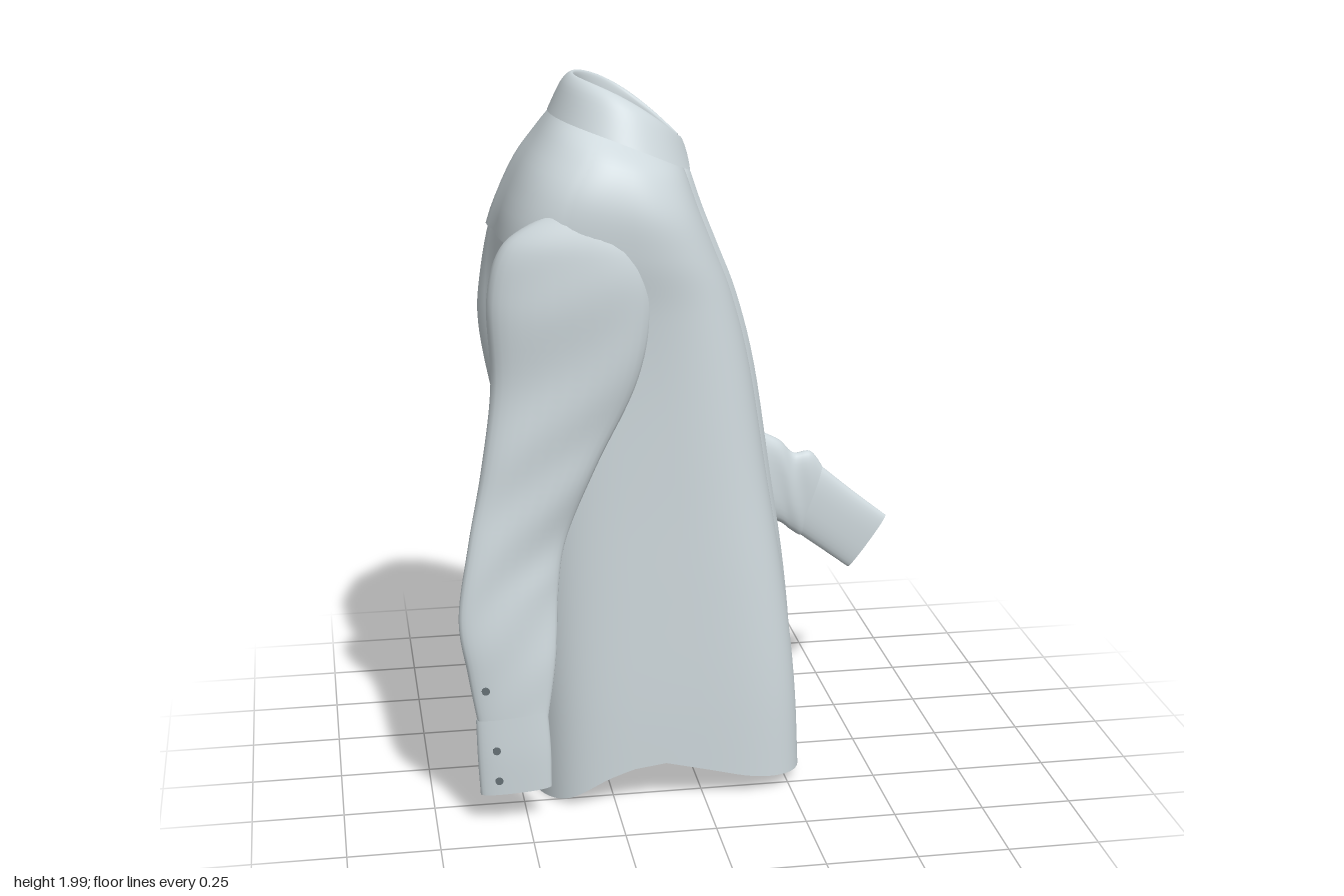
import * as THREE from 'three';

const fabric = new THREE.MeshStandardMaterial({ color: 0xced8dc, side: THREE.DoubleSide });
fabric.name = 'pale blue-grey fabric';
const buttonMat = new THREE.MeshStandardMaterial({ color: 0x667075 });
buttonMat.name = 'dark grey button';

// Smooth (Catmull-Rom) sample of a list of number rows at position t
function sampleRows(rows, t) {
  const last = rows.length - 1;
  const i = Math.min(Math.floor(t), last - 1), f = t - i;
  const [a, b, c, d] = [i - 1, i, i + 1, i + 2].map(k => rows[Math.min(Math.max(k, 0), last)]);
  return b.map((v, k) => v + 0.5 * f * (c[k] - a[k] + f * (2 * a[k] - 5 * v + 4 * c[k] - d[k]
    + f * (3 * (v - c[k]) + d[k] - a[k]))));
}

// Grid surface from point(u, v) with u, v in 0..1; closed joins the u ends
function surface(name, nu, nv, closed, point, flip = false) {
  const pos = [], index = [], cols = closed ? nu : nu + 1;
  for (let j = 0; j <= nv; j++)
    for (let i = 0; i < cols; i++) pos.push(...point(i / nu, j / nv));
  for (let j = 0; j < nv; j++)
    for (let i = 0; i < nu; i++) {
      const a = j * cols + i, b = j * cols + (i + 1) % cols, c = a + cols, d = b + cols;
      if (flip) index.push(a, b, c, b, d, c);
      else index.push(a, c, b, b, c, d);
    }
  const g = new THREE.BufferGeometry();
  g.setAttribute('position', new THREE.Float32BufferAttribute(pos, 3));
  g.setIndex(index);
  g.computeVertexNormals();
  const mesh = new THREE.Mesh(g, fabric);
  mesh.name = name;
  return mesh;
}

const power = (v, n) => Math.sign(v) * Math.pow(Math.abs(v), 2 / n);
const TAU = Math.PI * 2;

// Body sections: y, back x, front x, right z, left z, squareness, tilt, front skew, back skew
const body = [
  [0.00, -0.495, 0.275, 0.32, -0.28, 4.2, 0, 0.13, 0.2],
  [0.30, -0.495, 0.265, 0.32, -0.28, 4.0, 0, 0.12, 0.16],
  [0.60, -0.495, 0.24, 0.315, -0.28, 3.7, 0, 0.08, 0.12],
  [0.90, -0.50, 0.20, 0.31, -0.28, 3.4, 0, 0.04, 0.1],
  [1.20, -0.505, 0.16, 0.31, -0.285, 3.1, 0, 0, 0.08],
  [1.40, -0.52, 0.11, 0.32, -0.295, 3.0, 0, 0, 0.04],
  [1.56, -0.52, 0.06, 0.34, -0.312, 2.9, -0.1, 0, 0],
  [1.69, -0.47, 0.017, 0.34, -0.312, 2.7, -0.2, 0, 0],
  [1.785, -0.405, -0.01, 0.302, -0.272, 2.3, -0.3, 0, 0],
  [1.84, -0.36, -0.026, 0.232, -0.212, 2.1, -0.4, 0, 0],
  [1.87, -0.335, -0.034, 0.18, -0.165, 2, -0.47, 0, 0],
];
// Shirt-tail hem height along x
const hemRows = [[0.0], [0.01], [0.085], [0.12], [0.09], [0.055], [0.04]];
const hem = x => sampleRows(hemRows, THREE.MathUtils.clamp((x + 0.53) / 0.135, 0, 6))[0];

// Point on the body from unit section coordinates c (front-back) and s (side)
function bodyPoint(t, c, s, grow = 0) {
  const [y0, back, front, zr, zl, , tilt, skewFront, skewBack] = sampleRows(body, t);
  const xc = (back + front) / 2, rx = (front - back) / 2 + grow;
  const z = (zr + zl) / 2 + s * ((zr - zl) / 2 + grow);
  let x = xc + rx * c + (c > 0 ? skewFront : skewBack) * z * Math.abs(c);
  const y = y0 + tilt * (x - xc) + hem(x) * Math.max(0, 1 - t);
  // box pleat down the middle of the back
  if (c < 0) x -= 0.055 * Math.exp(-(((z + 0.07) / 0.05) ** 2)) * Math.exp(-(((y - 1.3) / 0.25) ** 2));
  return [x, y, z];
}
function bodyAt(t, angle, grow) {
  const n = sampleRows(body, t)[5];
  return bodyPoint(t, power(Math.cos(angle), n), power(Math.sin(angle), n), grow);
}
function bodyFrontAt(t, z) {
  const r = sampleRows(body, t);
  const s = (z - (r[3] + r[4]) / 2) / ((r[3] - r[4]) / 2);
  return bodyPoint(t, Math.pow(Math.max(0, 1 - Math.abs(s) ** r[5]), 1 / r[5]), s);
}

// Flattened tube; stations: front edge x, y, z, back edge x, y, z, half thickness
function sleeveTube(name, stations, steps, wrinkle) {
  const last = stations.length - 1;
  return surface(name, 32, steps, true, (u, v) => {
    const [x1, y1, z1, x2, y2, z2, h] = sampleRows(stations, v * last);
    const a = u * TAU, c = power(Math.cos(a), 2.3), s = power(Math.sin(a), 2.3);
    const fold = 1 + wrinkle * Math.sin(v * 34 + c * 3) * v * v * (1 - v) * 6;
    const mix = (front, back) => (front + back) / 2 + c * (front - back) / 2;
    return [mix(x1, x2), mix(y1, y2), mix(z1, z2) + s * h * fold];
  }, true);
}

function button(x, y, z, axis) {
  const m = new THREE.Mesh(new THREE.CylinderGeometry(0.011, 0.011, 0.008, 12), buttonMat);
  m.name = 'button';
  m.position.set(x, y, z);
  if (axis === 'z') m.rotation.x = Math.PI / 2;
  else m.rotation.z = Math.PI / 2;
  return m;
}

function sleeve(name, arm, cuff, buttons) {
  const group = new THREE.Group();
  group.name = name;
  group.add(sleeveTube('sleeve', arm, 60, 0.1), sleeveTube('cuff', cuff, 8, 0));
  for (const [x, y, z] of buttons) group.add(button(x, y, z, 'z'));
  return group;
}

export function createModel() {
  const shirt = new THREE.Group();
  shirt.name = 'shirt';
  const top = body.length - 1;

  shirt.add(surface('body', 96, 60, true, (u, v) => bodyAt(v * top, u * TAU, 0)));

  // Back yoke, a thin layer over the shoulder blades that fades out at its ends
  shirt.add(surface('backYoke', 32, 16, false, (u, v) =>
    bodyAt(5.95 + v * 3.8, Math.PI * (0.62 + u * 0.76), 0.007 * (1 - v) * Math.sin(Math.PI * u) ** 0.5)));

  // Front placket with a raised free edge
  const edgeRows = [[0.05], [0.09], [0.105], [0.11], [0.105], [0.1], [0.095], [0.085], [0.075], [0.06], [0.05]];
  shirt.add(surface('placket', 3, 48, false, (u, v) => {
    const t = v * 9.6, k = Math.round(u * 3);
    const edge = sampleRows(edgeRows, t)[0];
    const p = bodyFrontAt(t, edge - [0, 0.002, 0.04, 0.075][k]);
    p[0] += [-0.002, 0.014, 0.01, 0.001][k];
    return p;
  }, true));

  // Collar rows: back x, back y, front x, front y, half width, front opening angle, side lift
  const collar = [
    [-0.33, 1.90, -0.035, 1.765, 0.165, 0.0, 0],
    [-0.305, 1.975, -0.035, 1.80, 0.165, 0.02, 0.025],
    [-0.31, 1.995, -0.025, 1.82, 0.175, 0.05, 0.03],
    [-0.338, 1.97, -0.014, 1.81, 0.21, 0.18, 0.03],
    [-0.375, 1.895, 0.012, 1.735, 0.258, 0.5, 0.02],
  ];
  shirt.add(surface('collar', 56, 20, false, (u, v) => {
    const [bx, by, fx, fy, w, gap, lift] = sampleRows(collar, v * 4);
    const a = gap + u * (TAU - 2 * gap), c = Math.cos(a), s = Math.sin(a);
    return [(bx + fx) / 2 + c * (fx - bx) / 2, (by + fy) / 2 + c * (fy - by) / 2 + lift * s * s, 0.008 + s * w];
  }, true));
  shirt.add(button(-0.015, 1.766, 0.035, 'x'));

  // Hanging sleeve
  shirt.add(sleeve('hangingSleeve', [
    [-0.25, 1.67, 0.30, -0.42, 1.67, 0.285, 0.03],
    [-0.17, 1.57, 0.295, -0.53, 1.59, 0.262, 0.07],
    [-0.14, 1.42, 0.292, -0.572, 1.45, 0.262, 0.08],
    [-0.18, 1.22, 0.292, -0.568, 1.22, 0.275, 0.068],
    [-0.29, 1.00, 0.298, -0.60, 1.00, 0.30, 0.055],
    [-0.375, 0.80, 0.302, -0.642, 0.80, 0.33, 0.042],
    [-0.402, 0.66, 0.318, -0.675, 0.60, 0.355, 0.035],
    [-0.415, 0.47, 0.346, -0.655, 0.44, 0.362, 0.03],
    [-0.44, 0.31, 0.365, -0.632, 0.30, 0.365, 0.022],
  ], [
    [-0.442, 0.325, 0.365, -0.637, 0.31, 0.365, 0.024],
    [-0.435, 0.21, 0.366, -0.635, 0.20, 0.366, 0.025],
    [-0.435, 0.10, 0.366, -0.63, 0.09, 0.366, 0.022],
  ], [[-0.585, 0.225, 0.388], [-0.58, 0.135, 0.386], [-0.61, 0.40, 0.384]]));

  // Bent sleeve reaching forward
  shirt.add(sleeve('bentSleeve', [
    [-0.20, 1.66, -0.275, -0.35, 1.66, -0.265, 0.03],
    [-0.09, 1.57, -0.265, -0.40, 1.57, -0.25, 0.068],
    [0.00, 1.38, -0.275, -0.365, 1.31, -0.25, 0.066],
    [0.095, 1.16, -0.298, -0.235, 1.04, -0.27, 0.058],
    [0.16, 1.01, -0.32, -0.10, 0.80, -0.305, 0.052],
    [0.205, 0.93, -0.332, 0.04, 0.64, -0.33, 0.046],
    [0.27, 0.87, -0.342, 0.20, 0.60, -0.342, 0.042],
    [0.34, 0.83, -0.35, 0.33, 0.575, -0.35, 0.036],
    [0.385, 0.785, -0.356, 0.38, 0.54, -0.356, 0.03],
    [0.44, 0.785, -0.358, 0.41, 0.52, -0.358, 0.028],
    [0.485, 0.72, -0.358, 0.425, 0.53, -0.358, 0.02],
  ], [
    [0.475, 0.735, -0.358, 0.40, 0.53, -0.358, 0.026],
    [0.575, 0.65, -0.357, 0.48, 0.47, -0.357, 0.024],
    [0.675, 0.57, -0.354, 0.56, 0.41, -0.354, 0.018],
  ], [[0.59, 0.475, -0.373], [0.53, 0.52, -0.378], [0.42, 0.60, -0.384]]));

  return shirt;
}
